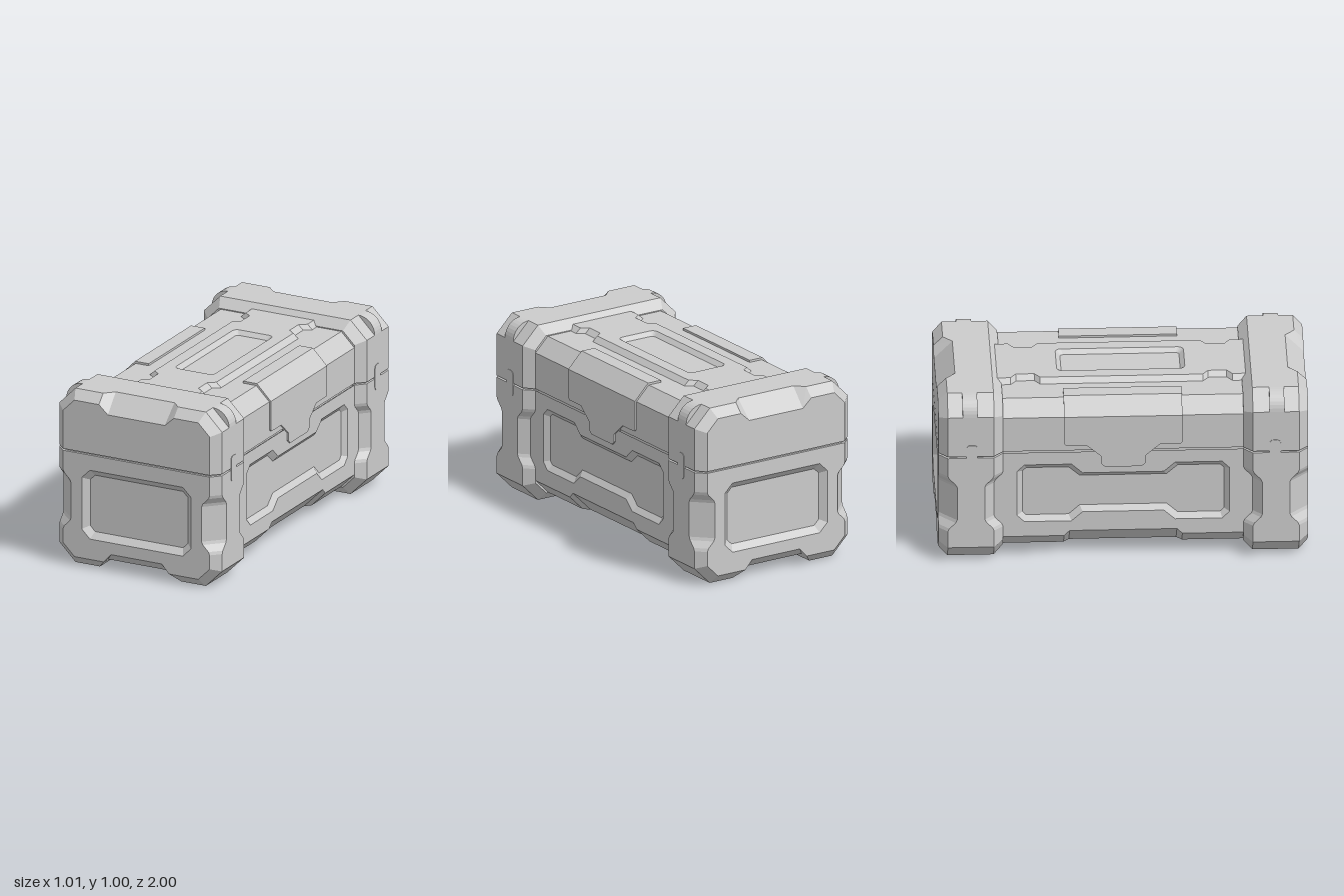
import * as THREE from 'three';

const material = new THREE.MeshStandardMaterial({ color: 0xcccccc, flatShading: true });

// Right half of an outline (going up) -> full counter-clockwise outline
const mirror = half => [...half, ...half.map(([x, ...r]) => [-x, ...r]).reverse()];
const atZ = (pts, z) => pts.map(([x, y]) => [x, y, z]);

// Quads between successive rings
function loft(out, rings, closed = true) {
  for (let i = 0; i + 1 < rings.length; i++) {
    const a = rings[i], b = rings[i + 1], n = a.length;
    for (let j = 0; j < (closed ? n : n - 1); j++) {
      const k = (j + 1) % n;
      out.push(a[j], a[k], b[k], a[j], b[k], b[j]);
    }
  }
}

// Flat face, optionally with a hole; looks along +z, or -z when flipped
function face(out, ring, hole = [], flip = false) {
  const v2 = p => new THREE.Vector2(p[0], p[1]);
  const all = [...ring, ...hole];
  const tris = THREE.ShapeUtils.triangulateShape(ring.map(v2), hole.length ? [hole.map(v2)] : []);
  for (const t of tris) {
    const [a, b, c] = t.map(i => all[i]);
    const area = (b[0] - a[0]) * (c[1] - a[1]) - (b[1] - a[1]) * (c[0] - a[0]);
    if ((area > 0) !== flip) out.push(a, b, c); else out.push(a, c, b);
  }
}

// Face with a sunken panel that has sloping walls
function recessedFace(out, ring, hole, floor) {
  face(out, ring, hole);
  loft(out, [hole, floor]);
  face(out, floor);
}

function geometry(out) {
  const g = new THREE.BufferGeometry();
  g.setAttribute('position', new THREE.Float32BufferAttribute(out.flat(), 3));
  g.computeVertexNormals();
  return g;
}

function mesh(name, geo, parent) {
  const m = new THREE.Mesh(geo, material);
  m.name = name;
  parent.add(m);
  return m;
}

// Rounded rectangle, counter-clockwise
function roundedRect(w, h, r, cy = 0, steps = 4) {
  const pts = [];
  for (let q = 0; q < 4; q++) for (let i = 0; i <= steps; i++) {
    const a = (q + i / steps) * Math.PI / 2;
    const sx = q === 0 || q === 3 ? 1 : -1, sy = q < 2 ? 1 : -1;
    pts.push([sx * (w - r) + r * Math.cos(a), cy + sy * (h - r) + r * Math.sin(a)]);
  }
  return pts;
}

const shapeOf = pts => new THREE.Shape(pts.map(([x, y]) => new THREE.Vector2(x, y)));
const extrude = (pts, depth) =>
  new THREE.ExtrudeGeometry(shapeOf(pts), { depth, bevelEnabled: false });

// End cap block: half outline rows are [x, y, front x, front y, bevel]
function capBlock(half, panel) {
  const o = mirror(half), out = [];
  const full = mirror(half.map(([x, y]) => [x, y]));
  const front = atZ(mirror(half.map(p => [p[2], p[3]])), 1);
  const rear = mirror(half.map(([x, y, ix, iy, c]) => {
    const t = y > 0.95 ? 0.05 / c : 1;
    return [x + (ix - x) * t, y + (iy - y) * t];
  }));
  const bevelOf = p => (p[1] > 0.95 ? 0.05 : p[4]);
  const rings = [
    atZ(rear, 0.65),
    full.map(([x, y], i) => [x, y, 0.65 + bevelOf(o[i])]),
    full.map(([x, y], i) => [x, y, 1 - o[i][4]]),
    front,
  ];
  loft(out, rings);
  face(out, rings[0], [], true);
  if (panel) recessedFace(out, front, atZ(panel[0], 1), atZ(panel[1], 0.968));
  else face(out, front);
  return geometry(out);
}

function endCap() {
  const g = new THREE.Group();
  g.name = 'endCap';
  // Vertical corner bevel deepens smoothly into a grip notch
  const notch = [];
  for (const [y0, y1, c0, c1] of [[0.2, 0.27, 0.05, 0.1], [0.47, 0.54, 0.1, 0.05]])
    for (let i = 0; i <= 4; i++) {
      const t = i / 4, c = c0 + (c1 - c0) * t * t * (3 - 2 * t);
      notch.push([0.5, y0 + (y1 - y0) * t, 0.5 - c, y0 + (y1 - y0) * t, c]);
    }
  const lower = [
    [0.2, 0.05, 0.155, 0.1, 0.05], [0.25, 0, 0.2, 0.05, 0.05], [0.4, 0, 0.38, 0.05, 0.05],
    [0.5, 0.1, 0.45, 0.12, 0.05], ...notch, [0.5, 0.65, 0.45, 0.65, 0.05],
  ];
  const upper = [
    [0.5, 0.66, 0.45, 0.66, 0.05], [0.5, 0.9, 0.45, 0.88, 0.05], [0.4, 1, 0.38, 0.95, 0.05],
    [0.23, 1, 0.23, 0.95, 0.05], [0.18, 1, 0.175, 0.9, 0.1],
  ];
  const panel = [
    mirror([[0.285, 0.167], [0.335, 0.217], [0.335, 0.513], [0.285, 0.563]]),
    mirror([[0.27, 0.203], [0.3, 0.233], [0.3, 0.497], [0.27, 0.527]]),
  ];
  mesh('lowerCap', capBlock(lower, panel), g);
  mesh('upperCap', capBlock(upper), g);
  for (const s of [-1, 1]) {
    // Rounded strap over the top corner
    const strap = mesh('cornerStrap', new THREE.CylinderGeometry(0.1, 0.1, 0.08, 32), g);
    strap.rotation.x = Math.PI / 2;
    strap.position.set(s * 0.4, 0.9, 0.83);
    // Pill-shaped latch across the seam
    const latch = mesh('sideLatch', extrude(roundedRect(0.03, 0.074, 0.02, 0.655), 0.03), g);
    latch.rotation.y = s * Math.PI / 2;
    latch.position.set(s * 0.473, 0, 0.82);
  }
  return g;
}

// One half of the middle body, built facing +z and turned to the side
function bodySide() {
  const g = new THREE.Group();
  g.name = 'bodySide';
  const E = 0.7, us = [-E, -0.32, -0.29, 0.29, 0.32, E];
  const mid = u => Math.abs(u) < 0.3;
  const row = (y, z) => us.map(u => [u, y, z]);
  const sideLow = us.map(u => [u, mid(u) ? 0.165 : 0.135, 0.45]);
  const out = [];
  loft(out, [row(0.05, 0), us.map(u => [u, 0.05, mid(u) ? 0.335 : 0.365]), sideLow], false);
  const outer = mirror([[0.22, 0.28], [0.28, 0.225], [0.535, 0.225], [0.575, 0.265],
    [0.575, 0.535], [0.535, 0.575], [0.28, 0.575], [0.22, 0.52]]);
  const inner = mirror([[0.235, 0.31], [0.295, 0.255], [0.525, 0.255], [0.545, 0.275],
    [0.545, 0.525], [0.525, 0.545], [0.295, 0.545], [0.235, 0.492]]);
  recessedFace(out, [...sideLow, [E, 0.65, 0.45], [-E, 0.65, 0.45]],
    atZ(outer, 0.45), atZ(inner, 0.425));
  mesh('lowerBody', geometry(out), g);

  const lid = [];
  loft(lid, [row(0.66, 0.42), row(0.66, 0.45), row(0.865, 0.45), row(0.945, 0.37), row(0.945, 0)], false);
  mesh('lidBody', geometry(lid), g);

  // Clasp plate folding over the lid edge, with a tongue across the seam
  const tongue = mirror([[0.1, 0.56], [0.12, 0.58], [0.12, 0.625], [0.2, 0.695],
    [0.31, 0.695], [0.32, 0.705], [0.32, 0.8]]);
  mesh('claspTongue', extrude(tongue, 0.04), g).position.z = 0.42;
  const fold = mesh('claspFold', extrude([[0.29, 0.9], [0.44, 0.8], [0.46, 0.8], [0.46, 0.869],
    [0.374, 0.957], [0.29, 0.957]], 0.64), g);
  fold.rotation.y = -Math.PI / 2;
  fold.position.x = 0.32;
  return g;
}

// Raised strip along the lid with notches and a sunken central panel
function lidStrip() {
  const edge = d => mirror([[0.22, -0.68], [0.22, -0.6], [0.18, -0.57], [0.18, -0.47], [0.22, -0.44],
    [0.22, 0.44], [0.18, 0.47], [0.18, 0.57], [0.22, 0.6], [0.22, 0.68]].map(([x, y]) => [x - d, y]));
  const out = [], top = atZ(edge(0.03), 0.972);
  loft(out, [atZ(edge(0), 0.944), top]);
  recessedFace(out, top, atZ(roundedRect(0.12, 0.347, 0.03), 0.972),
    atZ(roundedRect(0.095, 0.322, 0.018), 0.95));
  return geometry(out).rotateX(-Math.PI / 2);
}

// Dark inner core closing the seam between lid and base
function seamCore() {
  const plan = mirror([[0.44, -0.985], [0.485, -0.94], [0.485, -0.71], [0.435, -0.66],
    [0.435, 0.66], [0.485, 0.71], [0.485, 0.94], [0.44, 0.985]]);
  const out = [], a = atZ(plan, 0.64), b = atZ(plan, 0.67);
  loft(out, [a, b]);
  face(out, a, [], true);
  face(out, b);
  return geometry(out).rotateX(-Math.PI / 2);
}

export function createModel() {
  const model = new THREE.Group();
  model.name = 'crate';
  for (const turn of [0, Math.PI]) {
    const cap = endCap();
    cap.rotation.y = turn;
    const side = bodySide();
    side.rotation.y = turn + Math.PI / 2;
    model.add(cap, side);
  }
  mesh('lidStrip', lidStrip(), model);
  mesh('seamCore', seamCore(), model);
  return model;
}
